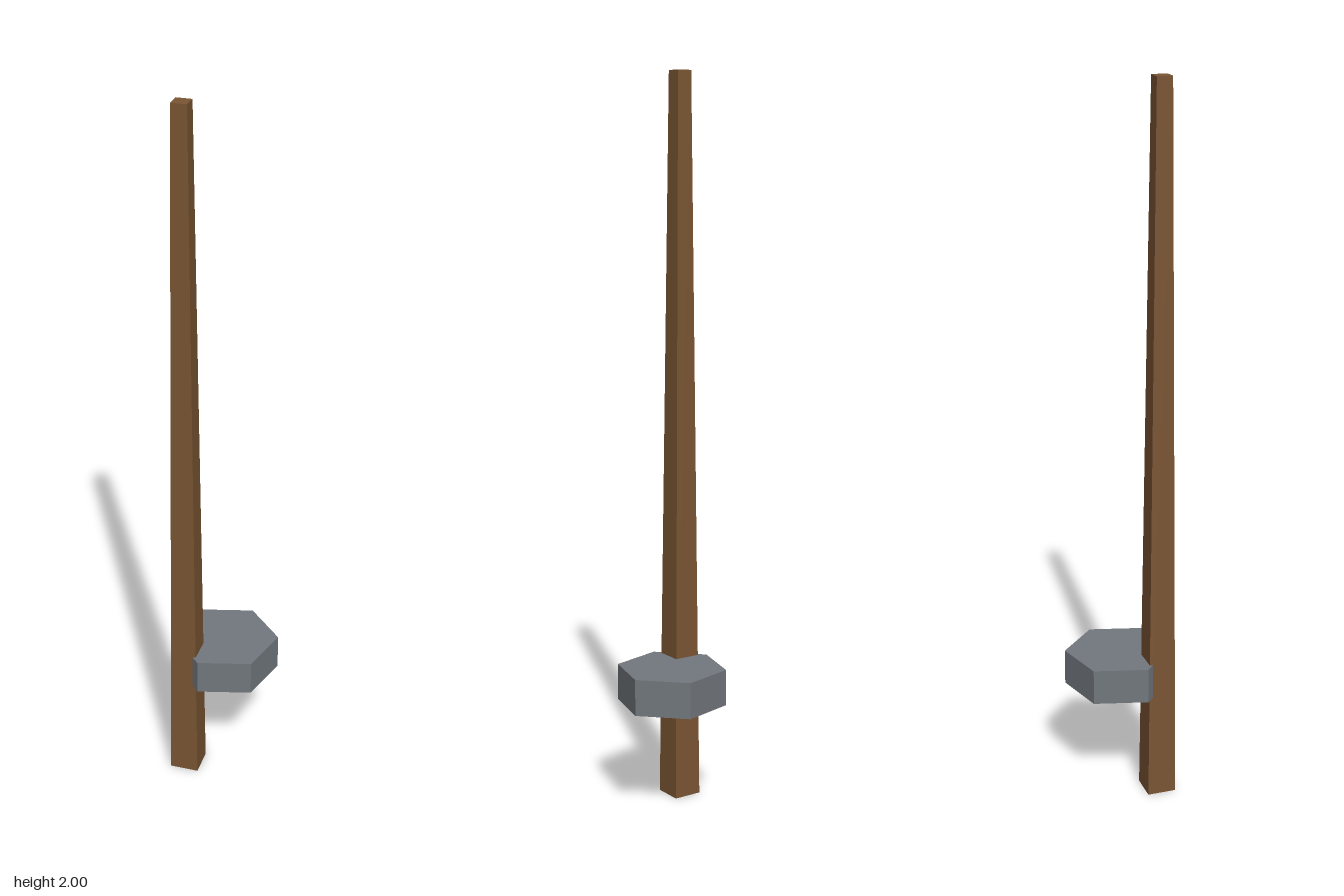
import * as THREE from 'three';

// Upright prism or taper standing between two heights
function prism(name, sides, rTop, rBottom, y0, y1, x, color) {
  const geometry = new THREE.CylinderGeometry(rTop, rBottom, y1 - y0, sides);
  const material = new THREE.MeshStandardMaterial({ color, flatShading: true });
  const mesh = new THREE.Mesh(geometry, material);
  mesh.name = name;
  mesh.position.set(x, (y0 + y1) / 2, 0);
  return mesh;
}

export function createModel() {
  const group = new THREE.Group();
  group.name = 'poleWithStep';

  // Tapered four-sided wooden pole, turned corner-on
  group.add(prism('pole', 4, 0.03, 0.057, 0, 2, -0.098, 0x7a5533));

  // Hexagonal slab fixed to one side of the pole
  group.add(prism('hexagonalSlab', 6, 0.15, 0.15, 0.305, 0.405, 0.025, 0x72787e));

  return group;
}
